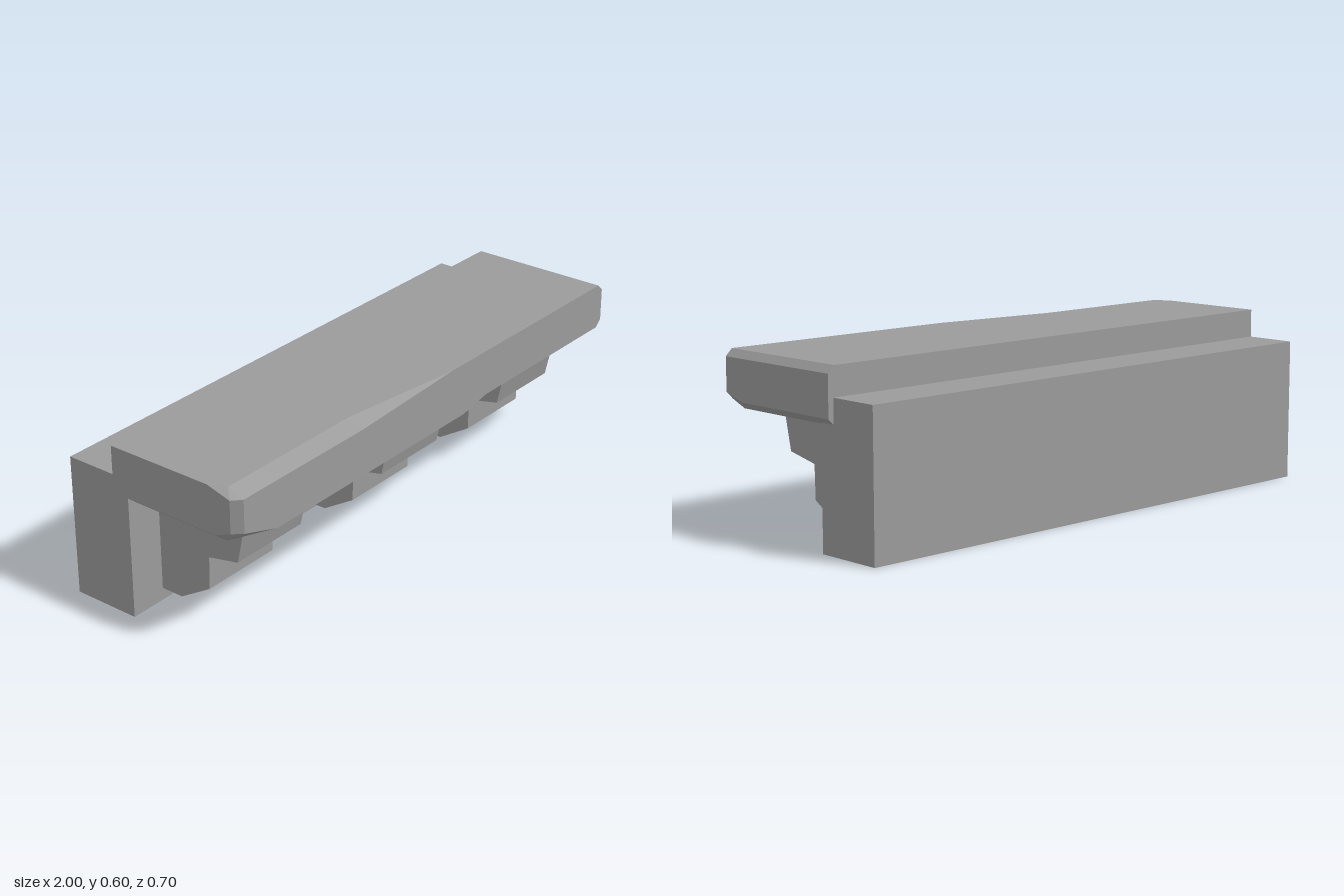
import * as THREE from 'three';

const material = new THREE.MeshStandardMaterial({ color: 0x9b9b9b, flatShading: true });

function part(name, geometry) {
  const mesh = new THREE.Mesh(geometry, material);
  mesh.name = name;
  return mesh;
}

// Joins cross-sections { x, points: [z, y] } into a closed, faceted solid
function loft(sections) {
  const rings = sections.map(({ x, points }) => points.map(([z, y]) => new THREE.Vector3(x, y, z)));
  const positions = [];
  const addTriangle = (a, b, c) => {
    if (new THREE.Triangle(a, b, c).getArea() < 1e-7) return;
    for (const p of [a, b, c]) positions.push(p.x, p.y, p.z);
  };
  const count = rings[0].length;
  for (let r = 0; r < rings.length - 1; r++) {
    for (let i = 0; i < count; i++) {
      const j = (i + 1) % count;
      addTriangle(rings[r][i], rings[r + 1][i], rings[r + 1][j]);
      addTriangle(rings[r][i], rings[r + 1][j], rings[r][j]);
    }
  }
  const first = rings[0], last = rings[rings.length - 1];
  for (let i = 1; i < count - 1; i++) {
    addTriangle(first[0], first[i], first[i + 1]);
    addTriangle(last[0], last[i + 1], last[i]);
  }
  const geometry = new THREE.BufferGeometry();
  geometry.setAttribute('position', new THREE.Float32BufferAttribute(positions, 3));
  geometry.computeVertexNormals();
  return geometry;
}

export function createModel() {
  const group = new THREE.Group();
  group.name = 'stoneLedge';

  // Backing wall block
  const wall = part('wallBlock', new THREE.BoxGeometry(1.98, 0.5, 0.247));
  wall.position.set(-0.01, 0.25, -0.2275);
  group.add(wall);

  // Stepped corbels, profile drawn as (z, y) and extruded along x
  const profile = new THREE.Shape([
    [-0.12, 0.044], [-0.02, 0.044], [0.102, 0.119], [0.105, 0.237],
    [0.225, 0.262], [0.26, 0.42], [-0.12, 0.42],
  ].map(([z, y]) => new THREE.Vector2(z, y)));
  for (const [left, right] of [[-0.866, -0.56], [-0.138, 0.172], [0.535, 0.842]]) {
    const geometry = new THREE.ExtrudeGeometry(profile, { depth: right - left, bevelEnabled: false });
    geometry.rotateY(-Math.PI / 2).translate(right, 0, 0);
    group.add(part('corbel', geometry));
  }

  // Top slab: its lower and upper front edges are chipped unevenly along x
  const back = -0.166, front = 0.351, top = 0.6, bottom = 0.411;
  const sharpLow = [[front, bottom], [front, bottom]];
  const chippedLow = [[0.29, bottom], [front, 0.435]];
  const sharpHigh = [[front, top], [front, top]];
  const wornHigh = [[front, 0.577], [0.29, top]];
  const section = (x, low, high, base = bottom, crown = top) =>
    ({ x, points: [[back, base], ...low, ...high, [back, crown]] });
  group.add(part('topSlab', loft([
    section(-1, [[0.26, 0.435], [0.32, 0.46]], [[0.32, 0.575], [0.23, top]], 0.435),
    section(-0.972, [[0.28, bottom], [front, 0.46]], wornHigh),
    section(-0.82, sharpLow, wornHigh),
    section(-0.4, sharpLow, wornHigh),
    section(0.08, sharpLow, sharpHigh),
    section(0.15, sharpLow, sharpHigh),
    section(0.28, chippedLow, sharpHigh),
    section(0.975, chippedLow, sharpHigh),
    section(1, [[0.265, 0.435], [front, 0.46]], [[front, 0.576], [front, 0.576]], 0.435, 0.576),
  ])));

  return group;
}
